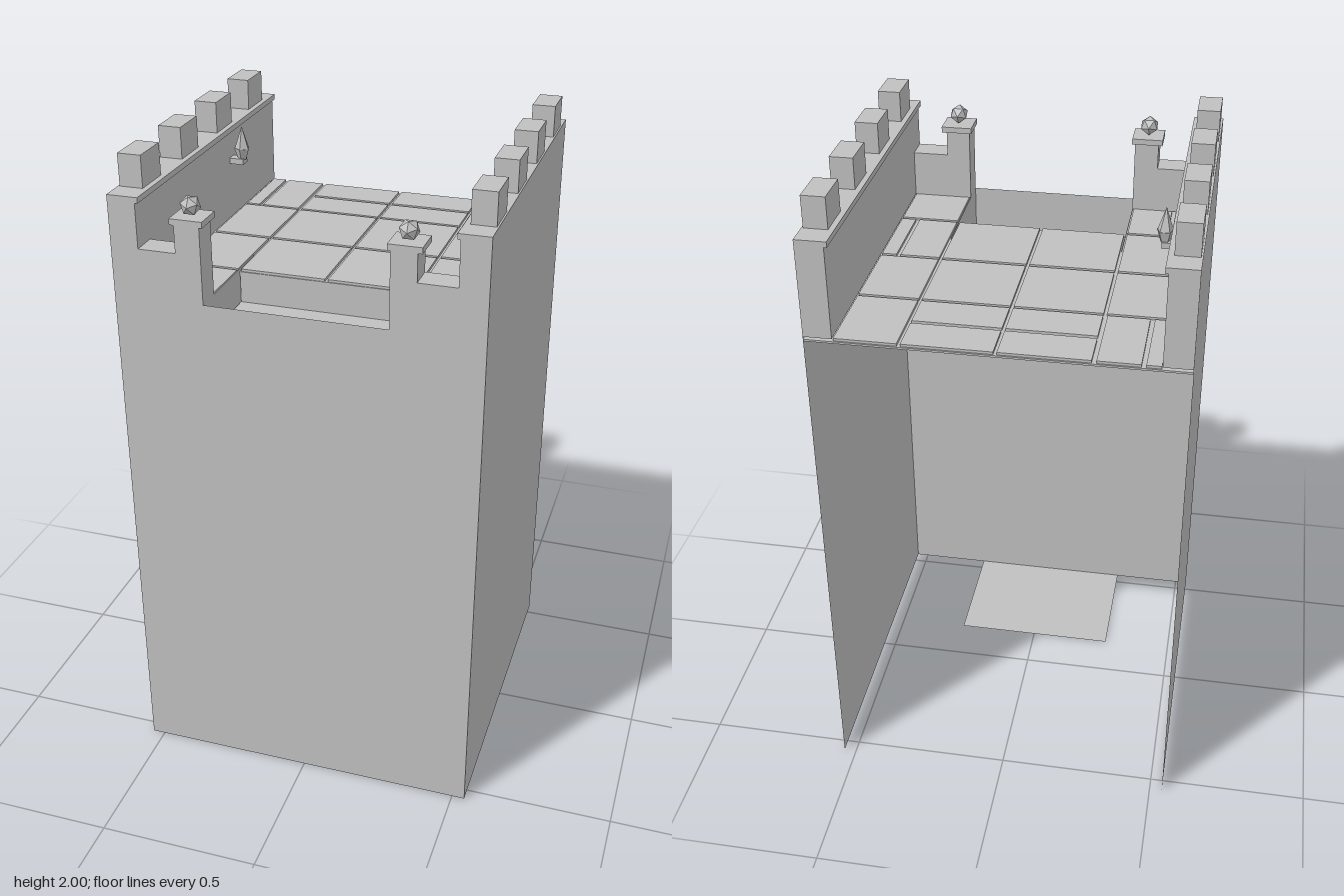
import * as THREE from 'three';

export function createModel() {
  const model = new THREE.Group();
  const stone = new THREE.MeshStandardMaterial({ color: 0xc0c0c0, side: THREE.DoubleSide });
  stone.name = 'grey stone';

  const add = (name, geometry, x = 0, y = 0, z = 0) => {
    const mesh = new THREE.Mesh(geometry, stone);
    mesh.name = name;
    mesh.position.set(x, y, z);
    model.add(mesh);
    return mesh;
  };
  // Box given by its limits on each axis
  const block = (name, x0, x1, y0, y1, z0, z1) => add(name,
    new THREE.BoxGeometry(Math.abs(x1 - x0), y1 - y0, z1 - z0),
    (x0 + x1) / 2, (y0 + y1) / 2, (z0 + z1) / 2);

  const R = 0.54, deck = 1.61, gap = 0.27;      // half width, floor level, half stair width
  const wellBack = 0.145, wellBottom = 1.185;

  // Thin tower shell, open at the back and below
  add('frontWall', new THREE.PlaneGeometry(2 * R, deck), 0, deck / 2, R);
  for (const s of [-1, 1]) {
    add('sideWall', new THREE.PlaneGeometry(2 * R, deck), s * R, deck / 2, 0).rotation.y = s * Math.PI / 2;
  }
  const plate = add('groundPlate', new THREE.PlaneGeometry(2 * gap, R - wellBack), 0, 0.001, (R + wellBack) / 2);
  plate.rotation.x = -Math.PI / 2;

  // Floor slab around the stair opening
  const slabTop = 1.602;
  block('floor', -R, R, 1.596, slabTop, -R, 0.265);
  for (const s of [-1, 1]) block('floorSide', s * gap, s * R, 1.596, slabTop, 0.265, R);

  // Paving: x0, x1, z0, z1
  const tiles = [
    [-0.455, -0.413, -0.535, -0.278], [-0.4, -0.278, -0.535, -0.278],
    [-0.265, -0.005, -0.535, -0.413], [0.005, 0.265, -0.535, -0.413],
    [-0.265, -0.005, -0.4, -0.278], [0.005, 0.265, -0.4, -0.278],
    [0.275, 0.455, -0.535, -0.278],
    [-0.455, -0.275, -0.267, -0.008], [-0.265, -0.005, -0.267, -0.008],
    [0.005, 0.265, -0.267, -0.008], [0.275, 0.455, -0.267, -0.008],
    [-0.455, -0.275, 0.004, 0.262], [-0.265, -0.005, 0.004, 0.262],
    [0.005, 0.265, 0.004, 0.262], [0.275, 0.397, 0.004, 0.262], [0.41, 0.455, 0.004, 0.262],
    [-0.455, -0.413, 0.273, 0.46], [-0.4, -0.275, 0.273, 0.46], [0.275, 0.455, 0.273, 0.46],
  ];
  for (const [x0, x1, z0, z1] of tiles) block('floorTile', x0, x1, slabTop, deck, z0, z1);

  // Stairs going down to the front, stepped above and below
  const rise = (deck - wellBottom) / 4, run = 0.0675;
  const profile = [[wellBack, 1.6], [0.265, 1.6]];
  for (let i = 0; i < 4; i++) {
    const y = deck - rise * (i + 1) + 0.002;
    profile.push([0.265 + run * i, y], [i === 3 ? R - 0.001 : 0.265 + run * (i + 1), y]);
  }
  profile.push([R - 0.001, wellBottom]);
  for (let i = 3; i >= 0; i--) {
    const y = deck - rise * (i + 1);
    if (i < 3) profile.push([wellBack + run * (i + 1), y]);
    profile.push([wellBack + run * i, y]);
  }
  const stairs = new THREE.ExtrudeGeometry(
    new THREE.Shape(profile.map(([z, y]) => new THREE.Vector2(z, y))),
    { depth: 2 * gap - 0.004, bevelEnabled: false });
  stairs.rotateY(-Math.PI / 2);
  add('stairs', stairs, gap - 0.002);

  for (const s of [-1, 1]) {
    // Stairwell side
    add('stairwellSide', new THREE.PlaneGeometry(R - wellBack, deck - wellBottom),
      s * gap, (deck + wellBottom) / 2, (R + wellBack) / 2).rotation.y = s * Math.PI / 2;

    // Tall side parapet with coping and battlements
    block('sideParapet', s * 0.457, s * R, deck, 1.888, -R, R);
    block('coping', s * 0.448, s * R, 1.888, 1.905, -R, R);
    for (const z of [-0.405, -0.135, 0.135, 0.405]) {
      block('merlon', s * 0.465, s * 0.535, 1.905, 2, z - 0.061, z + 0.061);
    }

    // Front parapet, gate post, cap and ball
    block('frontParapet', s * 0.345, s * 0.457, deck, 1.755, 0.46, R);
    block('gatePost', s * gap, s * 0.345, deck, 1.837, 0.46, R);
    block('postCap', s * 0.261, s * 0.358, 1.837, 1.855, 0.447, R);
    const ball = new THREE.IcosahedronGeometry(0.03, 0);
    ball.rotateX(-Math.atan(2 / (1 + Math.sqrt(5))));   // one corner straight up
    add('postBall', ball, s * 0.31, 1.884, 0.497);
  }

  // Wall torch
  block('torchBracket', -0.457, -0.412, 1.785, 1.803, -0.183, -0.147);
  add('torchCup', new THREE.CylinderGeometry(0.026, 0.014, 0.035, 5).toNonIndexed(), -0.42, 1.817, -0.165)
    .geometry.computeVertexNormals();
  add('torchFlame', new THREE.ConeGeometry(0.024, 0.072, 5).toNonIndexed(), -0.42, 1.869, -0.165)
    .geometry.computeVertexNormals();

  return model;
}
